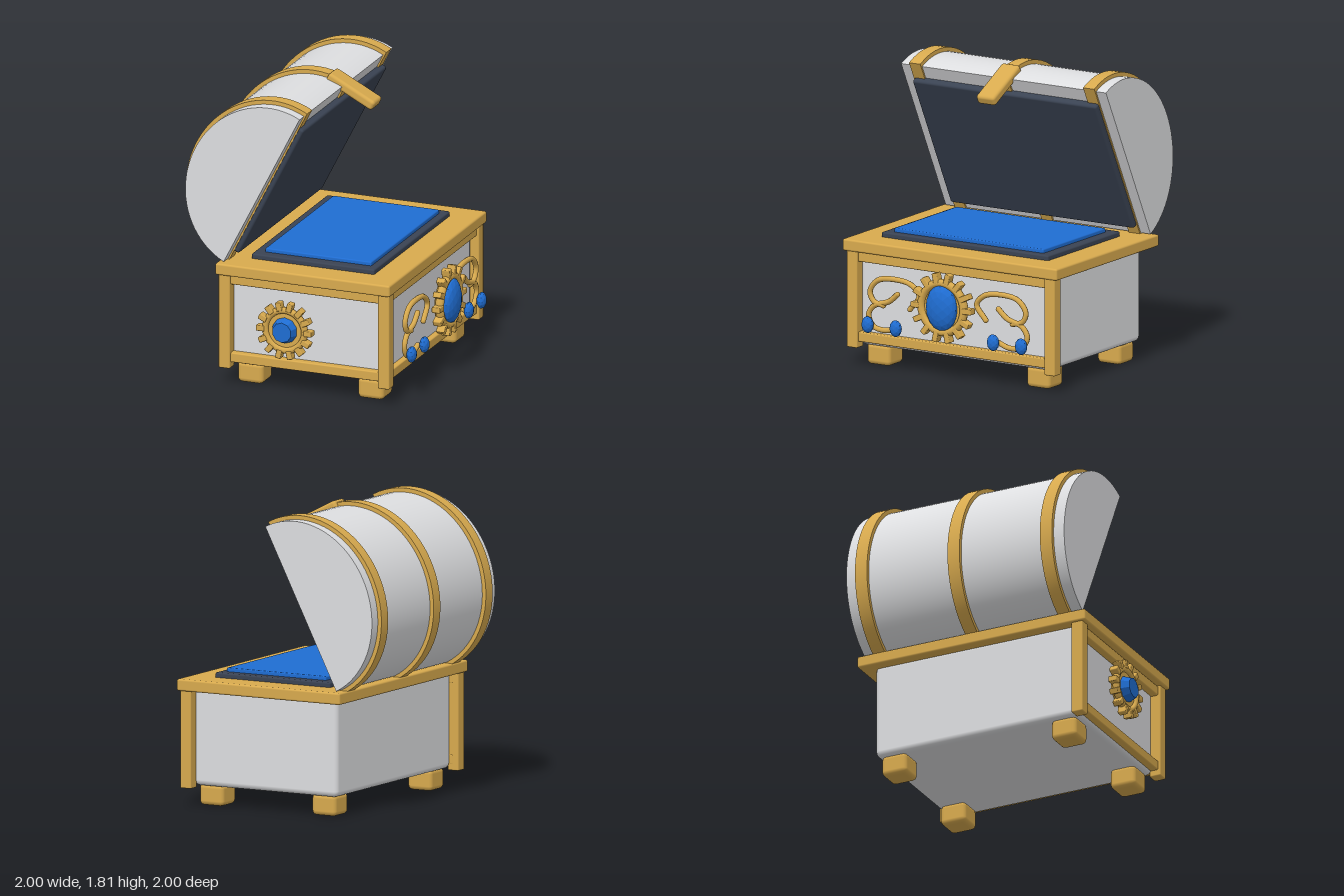
import * as THREE from 'three';
import { toCreasedNormals } from 'three/addons/utils/BufferGeometryUtils.js';
import { RoundedBoxGeometry } from 'three/addons/geometries/RoundedBoxGeometry.js';

const flat = (name, color) => {
  const m = new THREE.MeshStandardMaterial({ color });
  m.name = name;
  return m;
};

export function createModel() {
  const gold = flat('gold', 0xd8aa4e);
  const white = flat('white', 0xdddee0);
  const blue = flat('blue', 0x1f6dd2);
  const navy = flat('navy', 0x3a4353);
  // faceted cut for the gems
  const gemMat = blue;

  const model = new THREE.Group();
  model.name = 'treasureChest';
  const chest = new THREE.Group();
  chest.name = 'chest';
  chest.rotation.y = Math.PI / 4;
  model.add(chest);

  const add = (parent, name, geo, mat, x = 0, y = 0, z = 0) => {
    const m = new THREE.Mesh(geo, mat);
    m.name = name;
    m.position.set(x, y, z);
    parent.add(m);
    return m;
  };
  // rounded box given by its bounds
  const box = (parent, name, mat, x0, x1, y0, y1, z0, z1, r = 0.01) =>
    add(parent, name, new RoundedBoxGeometry(x1 - x0, y1 - y0, z1 - z0, 2, r), mat,
      (x0 + x1) / 2, (y0 + y1) / 2, (z0 + z1) / 2);
  const faceted = (geo) => {
    const g = geo.index ? geo.toNonIndexed() : geo;
    g.computeVertexNormals();
    return g;
  };

  // Body, rim and cushion on top
  box(chest, 'body', white, -0.68, 0.68, 0.12, 0.72, -0.41, 0.585, 0.035);
  box(chest, 'rim', gold, -0.764, 0.764, 0.698, 0.77, -0.48, 0.65, 0.012);
  box(chest, 'topFrame', navy, -0.594, 0.594, 0.755, 0.8, -0.314, 0.481, 0.01);
  box(chest, 'topPanel', blue, -0.532, 0.532, 0.78, 0.824, -0.25, 0.437, 0.008);

  // Feet
  for (const x of [-0.569, 0.569])
    for (const z of [-0.3, 0.478])
      box(chest, 'foot', gold, x - 0.083, x + 0.083, 0, 0.13, z - 0.083, z + 0.083, 0.028);

  // Posts at three corners, rails along the front and one end
  for (const [x, z] of [[-0.704, 0.601], [0.704, 0.601], [-0.704, -0.43]])
    box(chest, 'post', gold, x - 0.037, x + 0.037, 0.107, 0.71, z - 0.037, z + 0.037, 0.008);
  for (const [y0, y1] of [[0.145, 0.205], [0.636, 0.696]]) {
    box(chest, 'frontRail', gold, -0.7, 0.7, y0, y1, 0.565, 0.622, 0.008);
    box(chest, 'endRail', gold, -0.725, -0.665, y0, y1, -0.43, 0.6, 0.008);
  }

  // Toothed setting with a faceted gem, facing +z
  const medallion = (name, R, gemGeo, gemZ) => {
    const g = new THREE.Group();
    g.name = name;
    const ring = add(g, 'settingRing', new THREE.TorusGeometry(R * 0.7, R * 0.12, 8, 32), gold);
    ring.scale.z = 1.1;
    const plate = add(g, 'settingPlate', new THREE.CylinderGeometry(R * 0.7, R * 0.7, 0.04, 32), gold, 0, 0, -0.015);
    plate.rotation.x = Math.PI / 2;
    const n = 14;
    for (let i = 0; i < n; i++) {
      const a = (i / n) * Math.PI * 2;
      const t = add(g, 'tooth', new RoundedBoxGeometry(R * 0.3, 0.036, 0.055, 1, 0.006), gold,
        Math.cos(a) * R * 0.85, Math.sin(a) * R * 0.85, 0);
      t.rotation.z = a;
    }
    add(g, 'gem', gemGeo, gemMat, 0, 0, gemZ);
    chest.add(g);
    return g;
  };
  const ovalGem = faceted(new THREE.IcosahedronGeometry(1, 2).scale(0.108, 0.142, 0.055));
  medallion('frontMedallion', 0.215, ovalGem, 0.012).position.set(0, 0.455, 0.722);
  const roundGem = faceted(new THREE.CylinderGeometry(0.062, 0.085, 0.06, 10).rotateX(Math.PI / 2));
  const end = medallion('endMedallion', 0.18, roundGem, 0.025);
  end.position.set(-0.8, 0.42, -0.01);
  end.rotation.y = -Math.PI / 2;

  // Scrollwork and small gems, mirrored on the front
  const scrolls = [
    [[0.27, 0.4], [0.205, 0.49], [0.26, 0.55], [0.38, 0.57], [0.5, 0.55], [0.555, 0.48],
      [0.53, 0.42], [0.46, 0.4]],
    [[0.36, 0.48], [0.42, 0.43], [0.53, 0.39], [0.565, 0.33], [0.53, 0.265], [0.44, 0.25], [0.36, 0.275]],
  ];
  for (const s of [-1, 1]) {
    for (const pts of scrolls) {
      const curve = new THREE.CatmullRomCurve3(pts.map(([x, y]) => new THREE.Vector3(s * x, y, 0.665)));
      add(chest, 'scroll', new THREE.TubeGeometry(curve, 40, 0.017, 8), gold);
      for (const p of [pts[0], pts[pts.length - 1]])
        add(chest, 'scrollTip', new THREE.SphereGeometry(0.017, 8, 6), gold, s * p[0], p[1], 0.665);
    }
    for (const x of [0.347, 0.547])
      add(chest, 'smallGem', faceted(new THREE.IcosahedronGeometry(1, 1).scale(0.04, 0.052, 0.03)),
        gemMat, s * x, 0.28, 0.705);
  }

  // Open lid: local y runs up the flat face, local +z is the lid's underside
  const lid = new THREE.Group();
  lid.name = 'lid';
  lid.position.set(0, 0.775, -0.437);
  lid.rotation.x = 0.473;
  chest.add(lid);

  // Half-ellipse profile extruded along the chest's width
  const dome = (grow, front, width) => {
    const a = 0.539 + grow, b = 0.48 + grow, pts = [new THREE.Vector2(front, 0.539 - a)];
    pts.push(new THREE.Vector2(front, 0.539 + a));
    for (let i = 0; i <= 40; i++) {
      const t = Math.PI / 2 + (i / 40) * Math.PI;
      pts.push(new THREE.Vector2(Math.cos(t) * b - 0.0005, 0.539 + Math.sin(t) * a));
    }
    const g = new THREE.ExtrudeGeometry(new THREE.Shape(pts), { depth: width, bevelEnabled: false });
    g.translate(0, 0, -width / 2).rotateY(-Math.PI / 2);
    return toCreasedNormals(g, 0.5);
  };
  add(lid, 'lidDome', dome(0, 0, 1.46), white);
  for (const x of [-0.62, 0, 0.62]) add(lid, 'strap', dome(0.025, 0.01, 0.08), gold, x);
  box(lid, 'lidLining', navy, -0.655, 0.655, 0.06, 0.99, -0.02, 0.042, 0.015);
  box(lid, 'clasp', gold, -0.065, 0.065, 1.045, 1.108, -0.11, 0.225, 0.02);

  return model;
}
